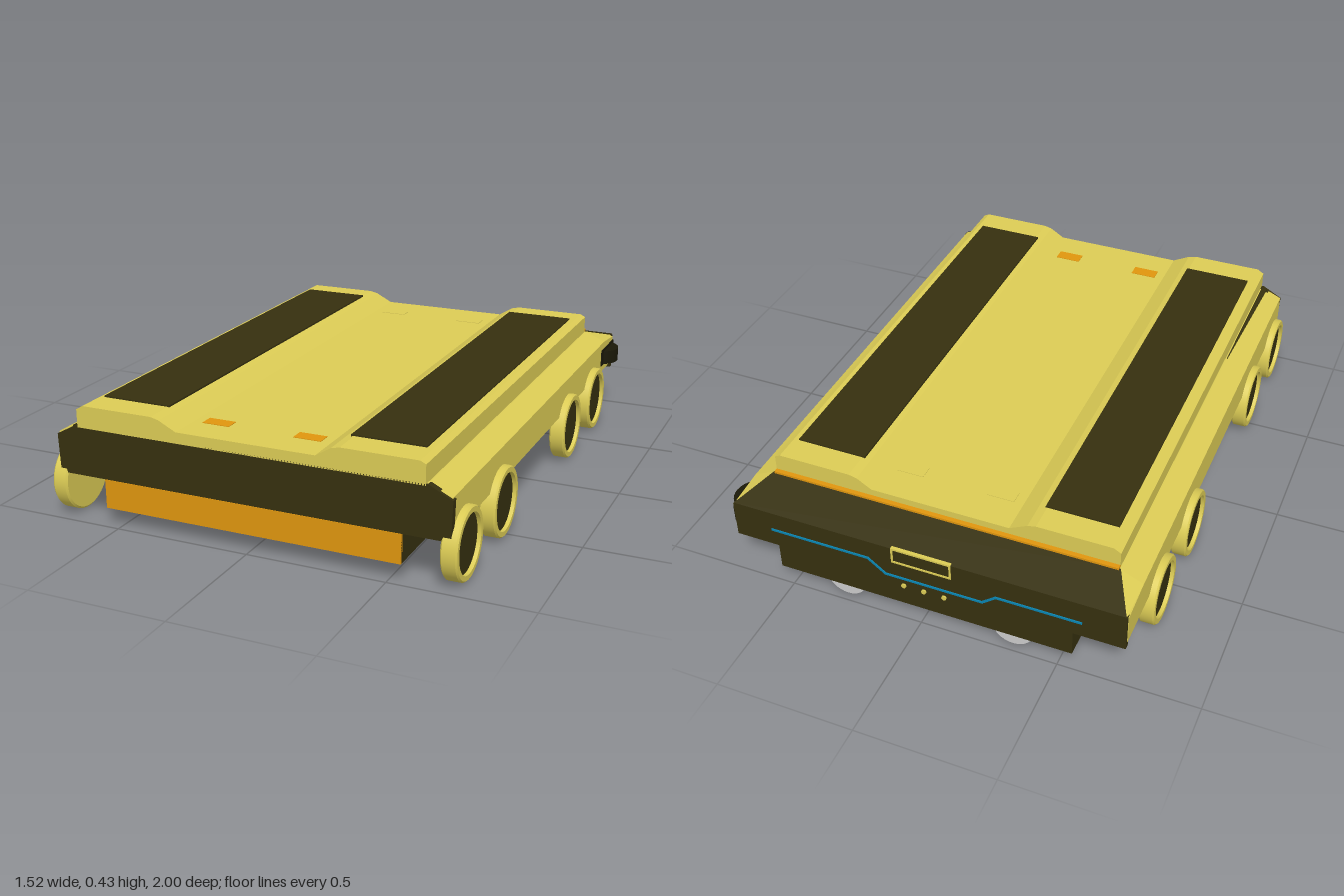
import * as THREE from 'three';

const mat = (color, extra = {}) => new THREE.MeshStandardMaterial({ color, ...extra });
const yellow = mat(0xdccc55, { flatShading: true });
const rimYellow = mat(0xdccc55);
const dark = mat(0x36300f, { flatShading: true });
const orange = mat(0xe0960e);
const blue = mat(0x0a84b0);
const black = mat(0x1a1808);
const grey = mat(0xcccccc);

export function createModel() {
  const model = new THREE.Group();
  const CX = -0.0125; // the body sits slightly off the centre line

  function add(name, geometry, material, x = 0, y = 0, z = 0, parent = model) {
    const mesh = new THREE.Mesh(geometry, material);
    mesh.name = name;
    mesh.position.set(x, y, z);
    parent.add(mesh);
    return mesh;
  }
  // box given by its limits
  const box = (name, material, x0, x1, y0, y1, z0, z1) =>
    add(name, new THREE.BoxGeometry(x1 - x0, y1 - y0, z1 - z0), material,
      (x0 + x1) / 2, (y0 + y1) / 2, (z0 + z1) / 2);
  // outline in x and y, extruded from z0 to z1
  function prism(name, material, points, z0, z1) {
    const shape = new THREE.Shape(points.map(p => new THREE.Vector2(...p)));
    return add(name, new THREE.ExtrudeGeometry(shape, { depth: z1 - z0, bevelEnabled: false }), material, 0, 0, z0);
  }
  // convex counter-clockwise sections joined from front to back
  function loft(name, material, sections) {
    const pos = [];
    const put = (s, i) => pos.push(s.p[i][0], s.p[i][1], s.z);
    const n = sections[0].p.length;
    for (let k = 0; k + 1 < sections.length; k++) {
      const a = sections[k], b = sections[k + 1];
      for (let i = 0; i < n; i++) {
        const j = (i + 1) % n;
        put(a, i); put(b, i); put(a, j);
        put(a, j); put(b, i); put(b, j);
      }
    }
    const first = sections[0], last = sections[sections.length - 1];
    for (let i = 1; i + 1 < n; i++) {
      put(first, 0); put(first, i); put(first, i + 1);
      put(last, 0); put(last, i + 1); put(last, i);
    }
    const g = new THREE.BufferGeometry();
    g.setAttribute('position', new THREE.Float32BufferAttribute(pos, 3));
    g.computeVertexNormals();
    return add(name, g, material);
  }

  // chassis and underside
  box('chassis', dark, -0.55, 0.545, 0.065, 0.2, -0.985, 0.98);
  box('underside', dark, -0.725, 0.7, 0.18, 0.195, -0.985, 0.975);
  box('frontPanel', orange, -0.55, 0.545, 0.065, 0.17, 0.975, 0.987);

  // outer shell with sloping shoulders and a sloping tail
  const shoulder = [[-0.735, 0.19], [0.71, 0.19], [0.71, 0.315], [0.63, 0.35], [-0.655, 0.35], [-0.735, 0.315]];
  const tail = [[-0.735, 0.19], [0.71, 0.19], [0.71, 0.3], [0.705, 0.305], [-0.73, 0.305], [-0.735, 0.3]];
  loft('shell', yellow, [{ p: shoulder, z: 0.975 }, { p: shoulder, z: -0.84 }, { p: tail, z: -0.985 }]);
  loft('tailSlope', dark, [
    { p: [[-0.655, 0.335], [0.63, 0.335], [0.63, 0.354], [-0.655, 0.354]], z: -0.84 },
    { p: [[-0.73, 0.29], [0.705, 0.29], [0.705, 0.309], [-0.73, 0.309]], z: -0.995 },
  ]);
  prism('frontBumper', dark,
    [[-0.73, 0.17], [0.71, 0.17], [0.715, 0.31], [0.635, 0.35], [-0.66, 0.35], [-0.735, 0.31]], 0.96, 0.985);
  box('backFascia', dark, -0.733, 0.708, 0.165, 0.305, -0.995, -0.975);
  box('backLowerPanel', dark, -0.55, 0.545, 0.065, 0.17, -0.993, -0.975);
  box('tailTrim', orange, -0.65, 0.625, 0.348, 0.36, -0.847, -0.828);

  // thin gap tapering along the right shoulder
  loft('shoulderGap', dark, [
    { p: [[-0.675, 0.33], [-0.655, 0.33], [-0.655, 0.355], [-0.675, 0.347]], z: 0.975 },
    { p: [[-0.658, 0.33], [-0.655, 0.33], [-0.655, 0.351], [-0.658, 0.35]], z: 0.42 },
  ]);

  // deck with two raised sides
  prism('deck', yellow, [
    [-0.65, 0.345], [0.625, 0.345], [0.625, 0.415], [0.605, 0.425], [0.335, 0.425], [0.305, 0.418],
    [0.25, 0.385], [-0.26, 0.385], [-0.325, 0.418], [-0.355, 0.425], [-0.625, 0.425], [-0.65, 0.41],
  ], -0.83, 0.985);
  box('rightTopPanel', dark, -0.61, -0.35, 0.42, 0.43, -0.73, 0.875);
  box('leftTopPanel', dark, 0.325, 0.585, 0.42, 0.43, -0.73, 0.875);

  // deck markers
  for (const x of [-0.175, 0.165]) {
    box('frontMarker', orange, x - 0.05, x + 0.05, 0.38, 0.387, 0.82, 0.87);
    box('backMarker', yellow, x - 0.05, x + 0.05, 0.38, 0.387, -0.705, -0.655);
  }

  // wheels: outlined rim with a recessed dark disc, axis along x
  const rim = new THREE.LatheGeometry(
    [[0, -0.029], [0.118, -0.029], [0.118, -0.029], [0.125, -0.023], [0.125, -0.023], [0.125, 0.023],
      [0.125, 0.023], [0.12, 0.029], [0.12, 0.029], [0.103, 0.029], [0.103, 0.029], [0.103, 0.012]]
      .map(p => new THREE.Vector2(...p)), 48);
  const disc = new THREE.CylinderGeometry(0.104, 0.104, 0.02, 48);
  for (const side of [-1, 1]) {
    for (const z of [0.875, 0.515, -0.295, -0.655]) {
      const wheel = new THREE.Group();
      wheel.name = side > 0 ? 'leftWheel' : 'rightWheel';
      add('rim', rim, rimYellow, 0, 0, 0, wheel);
      add('hubDisc', disc, dark, 0, 0.005, 0, wheel);
      wheel.rotation.z = -side * Math.PI / 2;
      wheel.position.set(CX + side * 0.719, 0.125, z);
      model.add(wheel);
    }
  }

  // rear casters, axis along z
  for (const x of [-0.33, 0.297]) {
    add('caster', new THREE.CylinderGeometry(0.075, 0.075, 0.085, 32), grey, x, 0.082, -0.932).rotation.x = Math.PI / 2;
  }

  // round sensor in a dark recess at the back left corner
  box('sensorRecess', black, 0.66, 0.714, 0.218, 0.285, -0.99, -0.8);
  add('sensor', new THREE.CylinderGeometry(0.085, 0.085, 0.055, 32), black, 0.67, 0.248, -0.9);

  // handle frame on the tail
  const frame = new THREE.Shape([[-0.11, -0.032], [0.11, -0.032], [0.11, 0.032], [-0.11, 0.032]].map(p => new THREE.Vector2(...p)));
  frame.holes.push(new THREE.Path([[-0.103, -0.025], [-0.103, 0.025], [0.103, 0.025], [0.103, -0.025]].map(p => new THREE.Vector2(...p))));
  add('tailHandle', new THREE.ExtrudeGeometry(frame, { depth: 0.022, bevelEnabled: false }), yellow, -0.01, 0.28, -0.998);

  // stepped light line across the back
  const line = [[0.56, 0.235], [0.19, 0.235], [0.125, 0.185], [-0.23, 0.185], [-0.28, 0.225], [-0.58, 0.225]];
  for (let i = 0; i + 1 < line.length; i++) {
    const [ax, ay] = line[i], [bx, by] = line[i + 1];
    const strip = add('lightLine', new THREE.BoxGeometry(Math.hypot(bx - ax, by - ay) + 0.006, 0.008, 0.008), blue,
      (ax + bx) / 2, (ay + by) / 2, -0.995);
    strip.rotation.z = Math.atan2(by - ay, bx - ax);
  }

  // three small studs below the light line
  for (const x of [-0.09, -0.015, 0.06]) {
    add('backStud', new THREE.CylinderGeometry(0.009, 0.009, 0.01, 12), yellow, x, 0.15, -0.994).rotation.x = Math.PI / 2;
  }

  return model;
}
